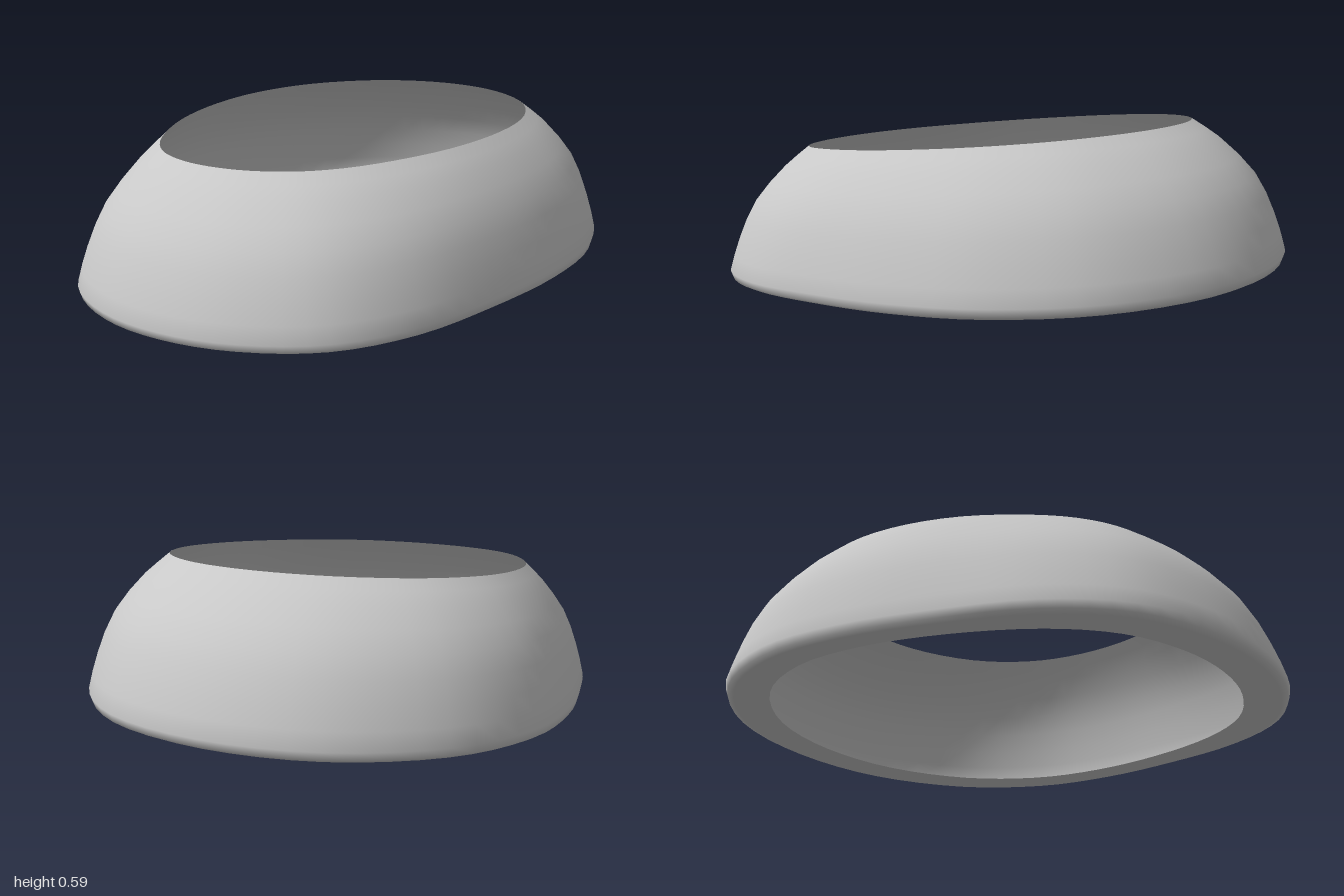
import * as THREE from 'three';

// Half outlines [x, z] from back to front: widest rim and top opening, paired point by point
const RIM = [[0, -1], [0.37, -0.92], [0.66, -0.68], [0.8, -0.36], [0.81, -0.03],
  [0.75, 0.3], [0.66, 0.6], [0.5, 0.83], [0.26, 0.96], [0, 1]];
const OPENING = [[0, -0.67], [0.25, -0.62], [0.46, -0.47], [0.575, -0.26], [0.6, -0.02],
  [0.55, 0.24], [0.43, 0.48], [0.3, 0.62], [0.15, 0.69], [0, 0.71]];

// Wall section [outward fraction, height fraction], top edge down to the inturned lip
const SECTION = [[0, 1], [0.15, 0.93], [0.3, 0.855], [0.5, 0.73], [0.67, 0.6], [0.79, 0.46],
  [0.88, 0.32], [0.95, 0.19], [1, 0.075], [0.97, 0.02], [0.9, 0], [0.7, 0], [0.48, 0.01]];

const AROUND = 72;

// Mirror a half outline into a smooth closed loop
function closedLoop(half) {
  const mirrored = half.slice(1, -1).reverse().map(([x, z]) => [-x, z]);
  const points = [...half, ...mirrored].map(([x, z]) => new THREE.Vector3(x, 0, z));
  return new THREE.CatmullRomCurve3(points, true, 'catmullrom', 0.5);
}

// Sweep the section around the two outlines, tilted so the back sits higher
function shellGeometry() {
  const rim = closedLoop(RIM);
  const opening = closedLoop(OPENING);
  const positions = [];
  const indices = [];
  SECTION.forEach(([out, h], j) => {
    for (let i = 0; i < AROUND; i++) {
      const p = opening.getPoint(i / AROUND).lerp(rim.getPoint(i / AROUND), out);
      const base = 0.0625 * (1 - p.z);
      const height = 0.475 - 0.025 * p.z;
      positions.push(p.x, base + h * height, p.z);
      if (j < SECTION.length - 1) {
        const a = j * AROUND + i;
        const b = j * AROUND + (i + 1) % AROUND;
        indices.push(a, b, a + AROUND, b, b + AROUND, a + AROUND);
      }
    }
  });
  const geometry = new THREE.BufferGeometry();
  geometry.setAttribute('position', new THREE.Float32BufferAttribute(positions, 3));
  geometry.setIndex(indices);
  geometry.computeVertexNormals();
  return geometry;
}

export function createModel() {
  const group = new THREE.Group();
  group.name = 'openCollar';
  const grey = new THREE.MeshStandardMaterial({ color: 0xc8c8c8, side: THREE.DoubleSide });
  grey.name = 'light grey';
  const shell = new THREE.Mesh(shellGeometry(), grey);
  shell.name = 'collarShell';
  group.add(shell);
  return group;
}
